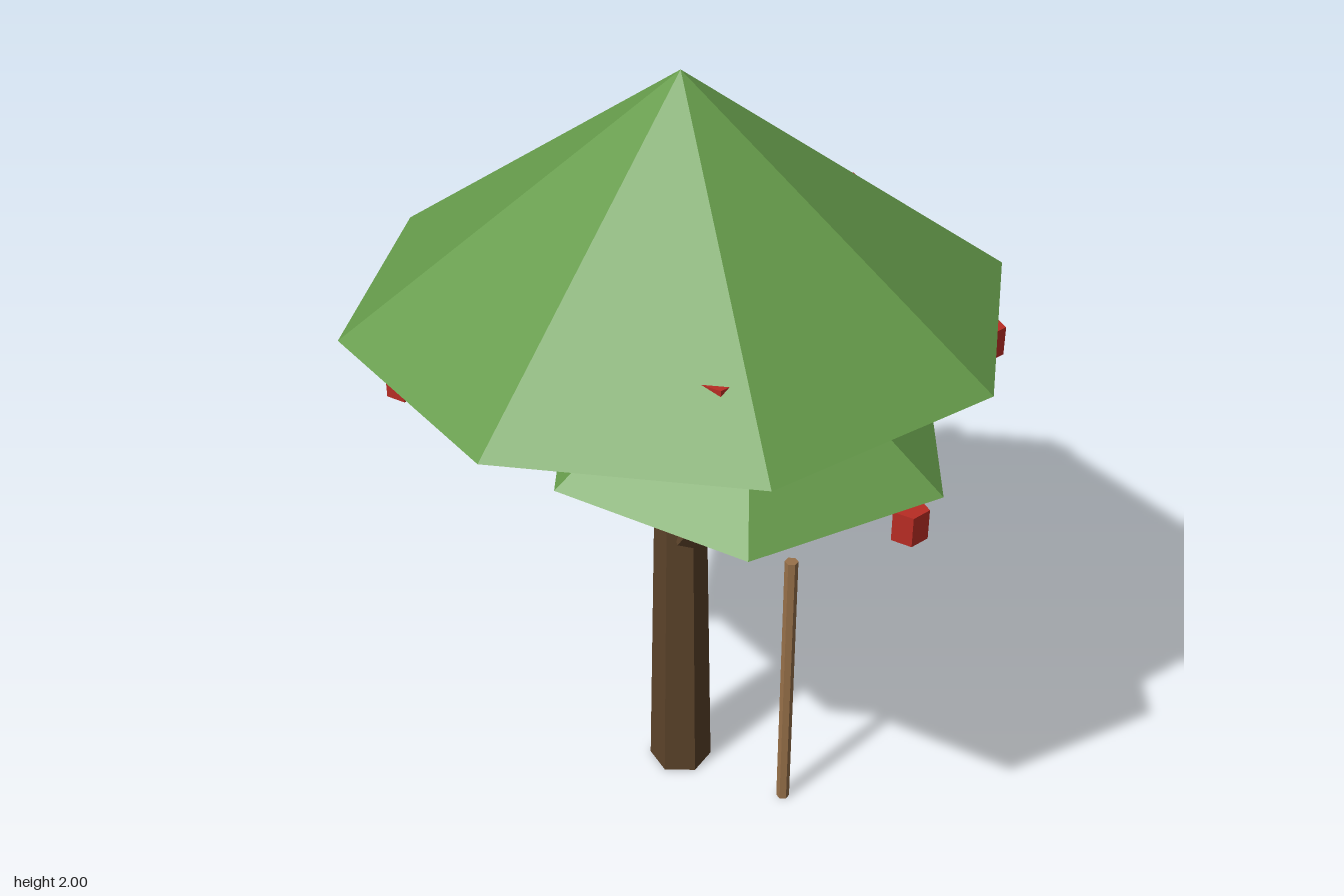
import * as THREE from 'three';

const mat = (name, color) => {
  const m = new THREE.MeshStandardMaterial({ color, flatShading: true });
  m.name = name;
  return m;
};

export function createModel() {
  const tree = new THREE.Group();
  tree.name = 'fruitTree';
  const bark = mat('bark brown', 0x5c432a);
  const wood = mat('pale wood', 0x98714a);
  const leaf = mat('leaf green', 0x659a4a);
  const red = mat('fruit red', 0xb82c24);

  const add = (name, geometry, material, x, y, z, turn = 0) => {
    const mesh = new THREE.Mesh(geometry, material);
    mesh.name = name;
    mesh.position.set(x, y, z);
    mesh.rotation.y = turn;
    tree.add(mesh);
    return mesh;
  };

  // Tapered six-sided trunk and the loose pole beside it
  add('trunk', new THREE.CylinderGeometry(0.066, 0.082, 0.84, 6), bark, 0, 0.42, 0);
  add('pole', new THREE.CylinderGeometry(0.017, 0.017, 0.78, 6), wood, 0.32, 0.39, 0);

  // Branches reaching up into the leaves
  const branch = (name, from, to) => {
    const a = new THREE.Vector3(...from);
    const b = new THREE.Vector3(...to);
    const dir = b.clone().sub(a);
    const mid = a.clone().add(b).multiplyScalar(0.5);
    const mesh = add(name, new THREE.CylinderGeometry(0.026, 0.036, dir.length(), 5), bark, mid.x, mid.y, mid.z);
    mesh.quaternion.setFromUnitVectors(new THREE.Vector3(0, 1, 0), dir.normalize());
  };
  branch('leftBranch', [0.03, 0.76, 0.025], [0.31, 1.18, 0.12]);
  branch('rightBranch', [-0.02, 0.78, -0.015], [-0.265, 1.18, -0.1]);

  // Crowns: faceted double cones given by bottom, rim and top heights
  const crown = (name, sides, radius, bottom, rim, top, x, z, turn) => {
    const profile = [[0, bottom], [radius, rim], [0, top]].map(p => new THREE.Vector2(...p));
    add(name, new THREE.LatheGeometry(profile, sides), leaf, x, 0, z, turn);
  };
  crown('mainCrown', 8, 0.8, 0.97, 1.42, 2, 0, 0, 0);
  crown('sideCrown', 6, 0.48, 1.04, 1.29, 1.66, 0.32, 0.23, Math.PI / 6);

  // Five-sided fruit
  const fruit = new THREE.CylinderGeometry(0.043, 0.043, 0.076, 5);
  [
    [0.71, 1.17, 0.195], [0.58, 1.17, 0], [-0.65, 1.17, -0.1],
    [-0.48, 1.285, 0.45], [0.6, 1.285, -0.43], [0.05, 1.4, -0.735],
    [0.365, 1.515, 0.44], [-0.34, 1.515, -0.565],
  ].forEach((p, i) => add('fruit' + (i + 1), fruit, red, ...p, Math.PI));

  return tree;
}
